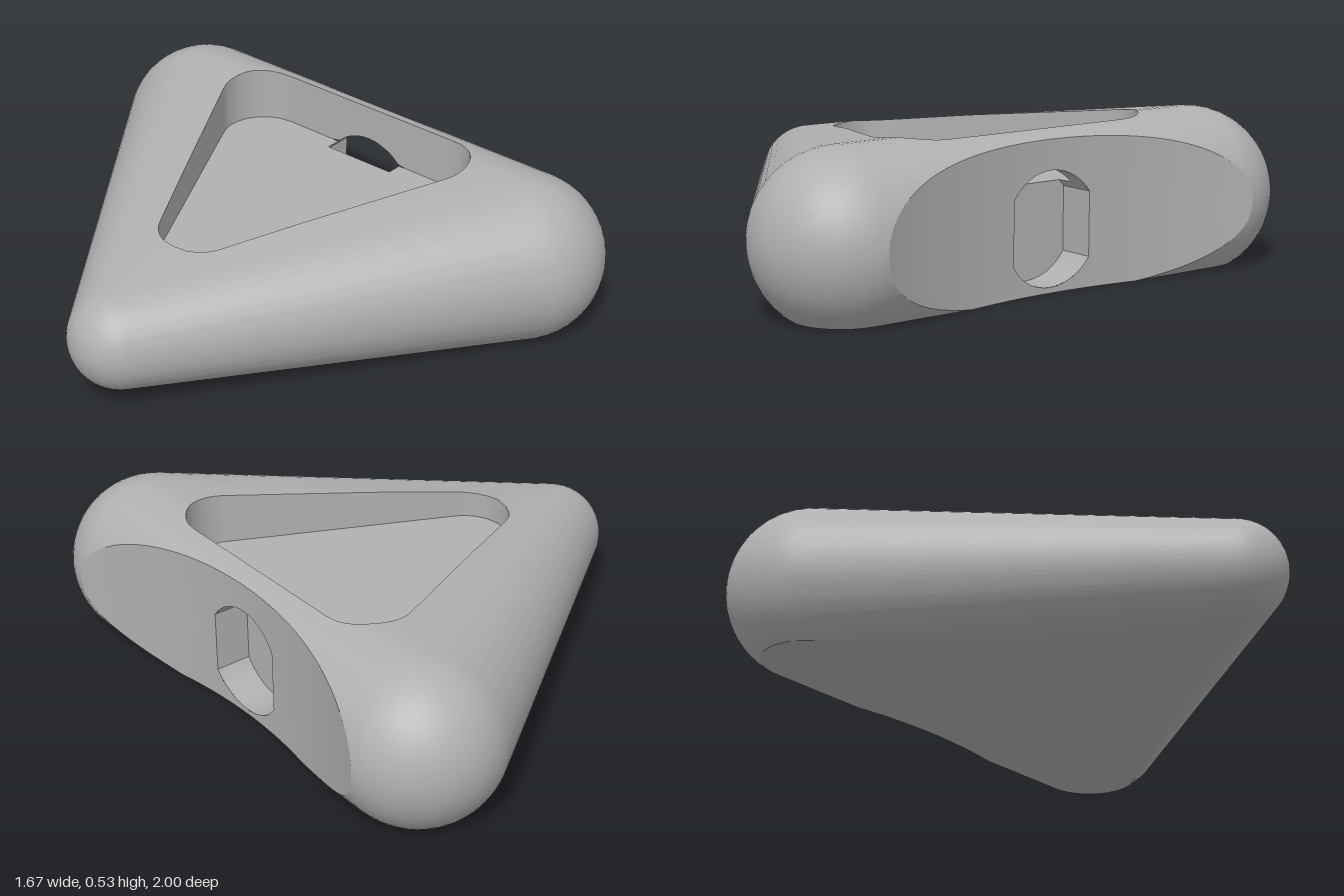
import * as THREE from 'three';
import { toCreasedNormals } from 'three/addons/utils/BufferGeometryUtils.js';
import { ConvexGeometry } from 'three/addons/geometries/ConvexGeometry.js';

const V = (x, y, z) => new THREE.Vector3(x, y, z);
const BIG = { x: 0.545, y: 0.238, z: 0.71, r: 0.29 };   // two rear corner balls
const TIP = { x: -0.66, y: 0.207, r: 0.175 };           // small front corner ball
const ARC = { x: 2.57, r: 1.89 };                       // concave end face
const POCKET = { tip: -0.255, x: 0.465, z: 0.36, r: 0.15, floor: 0.335 };
const HOLE = { y: 0.207, r: 0.188, half: 0.155, end: 0.56 };
const WALL_X = POCKET.x + POCKET.r;

const arcX = z => ARC.x - Math.sqrt(ARC.r ** 2 - z * z);

// Signed distance to the rounded triangular pocket outline
function pocketDistance(p) {
  const z = Math.abs(p.z), L = POCKET.x - POCKET.tip;
  const t = THREE.MathUtils.clamp(((p.x - POCKET.tip) * L + z * POCKET.z) / (L * L + POCKET.z ** 2), 0, 1);
  const side = Math.hypot(p.x - POCKET.tip - t * L, z - t * POCKET.z);
  const end = Math.hypot(p.x - POCKET.x, Math.max(z - POCKET.z, 0));
  const inside = p.x < POCKET.x && z < (p.x - POCKET.tip) * POCKET.z / L;
  return Math.min(side, end) * (inside ? -1 : 1) - POCKET.r;
}

// Keep the part of each triangle where f >= 0, collecting the cut segments
function clip(tris, f, cuts = []) {
  const out = [];
  for (const tri of tris) {
    const d = tri.map(f), poly = [], cut = [];
    for (let i = 0; i < 3; i++) {
      const j = (i + 1) % 3;
      if (d[i] >= 0) poly.push(tri[i]);
      if ((d[i] >= 0) === (d[j] >= 0)) continue;
      // always bisect from the inside end so neighbours share the point
      let a = d[i] >= 0 ? tri[i] : tri[j], b = d[i] >= 0 ? tri[j] : tri[i];
      for (let k = 0; k < 22; k++) {
        const m = a.clone().lerp(b, 0.5);
        if (f(m) >= 0) a = m; else b = m;
      }
      poly.push(a);
      cut.push(a);
    }
    for (let i = 2; i < poly.length; i++) out.push([poly[0], poly[i - 1], poly[i]]);
    if (cut.length === 2 && cut[0].distanceTo(cut[1]) > 1e-6) cuts.push(cut);
  }
  return out;
}

// Halve the longest edge until all edges are short
function subdivide(tris, max) {
  const out = [], stack = [...tris];
  while (stack.length) {
    const t = stack.pop();
    const len = t.map((p, i) => p.distanceTo(t[(i + 1) % 3]));
    const i = len.indexOf(Math.max(...len));
    if (len[i] <= max) { out.push(t); continue; }
    const a = t[i], b = t[(i + 1) % 3], c = t[(i + 2) % 3], m = a.clone().lerp(b, 0.5);
    stack.push([a, m, c], [m, b, c]);
  }
  return out;
}

// Triangle wound so that it faces along the hint
function facing(a, b, c, hint) {
  const n = b.clone().sub(a).cross(c.clone().sub(a));
  return n.dot(hint) >= 0 ? [a, b, c] : [a, c, b];
}
const quad = (a, b, c, d, hint) => [facing(a, b, c, hint), facing(a, c, d, hint)];

function toGeometry(tris, crease) {
  const solid = tris.filter(([a, b, c]) =>
    b.clone().sub(a).cross(c.clone().sub(a)).length() > 1e-10);
  const g = new THREE.BufferGeometry().setFromPoints(solid.flat());
  return toCreasedNormals(g, crease);
}

function buildShell() {
  // Hull around the three corner balls, with a slight crown and foot near the tip
  const points = [V(-0.4, 0.428, 0), V(-0.42, -0.003, 0)];
  for (const [x, y, z, r] of [[TIP.x, TIP.y, 0, TIP.r],
    [BIG.x, BIG.y, BIG.z, BIG.r], [BIG.x, BIG.y, -BIG.z, BIG.r]]) {
    const pos = new THREE.SphereGeometry(r, 56, 28).rotateX(Math.PI / 2).translate(x, y, z).attributes.position;
    for (let i = 0; i < pos.count; i++) points.push(new THREE.Vector3().fromBufferAttribute(pos, i));
  }
  const hp = new ConvexGeometry(points).attributes.position;
  let tris = [];
  for (let i = 0; i < hp.count; i += 3) {
    tris.push([0, 1, 2].map(k => new THREE.Vector3().fromBufferAttribute(hp, i + k)));
  }

  // Flat base
  const baseCuts = [], rim = [];
  tris = clip(tris, p => p.y, baseCuts);
  for (const [a, b] of baseCuts) tris.push(facing(V(0.1, 0, 0), a, b, V(0, -1, 0)));

  // Concave end and pocket opening
  tris = subdivide(tris, 0.07);
  tris = clip(tris, p => Math.hypot(p.x - ARC.x, p.z) - ARC.r);
  const top = clip(tris.filter(t => t[0].y > 0.3), pocketDistance, rim);
  return { tris: [...tris.filter(t => t[0].y <= 0.3), ...top], rim };
}

// Pocket walls drop from the rim, leaving the hole open
function buildPocketWalls(rim) {
  const low = p => {
    const open = p.x > WALL_X - 0.005 && Math.abs(p.z) < HOLE.half;
    const y = open ? HOLE.y + Math.sqrt(HOLE.r ** 2 - p.z ** 2) : 0;
    return V(p.x, Math.max(POCKET.floor, y), p.z);
  };
  return rim.flatMap(([a, b]) => quad(a, b, low(b), low(a), V(0.25 - a.x, 0, -a.z)));
}

function buildPocketFloor() {
  const { tip, x, z, r, floor } = POCKET;
  const turn = Math.PI / 2 + Math.atan2(z, x - tip);
  const notch = Math.sqrt(HOLE.r ** 2 - (floor - HOLE.y) ** 2);
  const s = new THREE.Shape();
  s.absarc(x, -z, r, -turn, 0, false);
  s.lineTo(WALL_X, -notch);
  s.lineTo(HOLE.end, -notch);
  s.lineTo(HOLE.end, notch);
  s.lineTo(WALL_X, notch);
  s.absarc(x, z, r, 0, turn, false);
  s.absarc(tip, 0, r, turn, 2 * Math.PI - turn, false);
  return new THREE.ShapeGeometry(s, 24).rotateX(-Math.PI / 2).translate(0, floor, 0);
}

// Concave face in columns, split above and below the hole
function buildEndFace() {
  const tris = [], out = V(1, 0, 0), half = 0.745;
  const reach = z => Math.sqrt(Math.max(0,
    BIG.r ** 2 - (arcX(z) - BIG.x) ** 2 - Math.max(Math.abs(z) - BIG.z, 0) ** 2));
  const topY = z => BIG.y + reach(z), baseY = z => Math.max(0, BIG.y - reach(z));
  const holeY = s => z => HOLE.y + s * Math.sqrt(HOLE.r ** 2 - z * z);
  const strip = (z0, z1, lo, hi) => tris.push(...quad(
    V(arcX(z0), lo(z0), z0), V(arcX(z1), lo(z1), z1),
    V(arcX(z1), hi(z1), z1), V(arcX(z0), hi(z0), z0), out));
  const n = 40, zs = i => HOLE.half + (half - HOLE.half) * Math.sin(i / n * Math.PI / 2);
  for (let i = 0; i < n; i++) {
    for (const m of [1, -1]) strip(m * zs(i), m * zs(i + 1), baseY, topY);
    const z0 = HOLE.half * (2 * i / n - 1), z1 = HOLE.half * (2 * (i + 1) / n - 1);
    strip(z0, z1, baseY, holeY(-1));
    strip(z0, z1, holeY(1), topY);
  }
  return tris;
}

// Flat-sided round hole, ending in a blind wall below the pocket floor
function buildHole() {
  const a0 = Math.acos(HOLE.half / HOLE.r), a1 = Math.asin((POCKET.floor - HOLE.y) / HOLE.r);
  const angles = [a0];
  for (let i = 0; i <= 20; i++) angles.push(a1 + (Math.PI - 2 * a1) * i / 20);
  angles.push(Math.PI - a0);
  for (let i = 0; i <= 20; i++) angles.push(Math.PI + a0 + (Math.PI - 2 * a0) * i / 20);
  const ring = angles.map(a => ({ z: HOLE.r * Math.cos(a), y: HOLE.y + HOLE.r * Math.sin(a) }));
  const lining = [], back = [], centre = V(HOLE.end, HOLE.y, 0);
  ring.forEach((p, i) => {
    const q = ring[(i + 1) % ring.length];
    const above = (p.y + q.y) / 2 > POCKET.floor;
    const x = above ? WALL_X : HOLE.end;
    lining.push(...quad(V(arcX(p.z), p.y, p.z), V(arcX(q.z), q.y, q.z),
      V(x, q.y, q.z), V(x, p.y, p.z), V(0, HOLE.y - (p.y + q.y) / 2, -(p.z + q.z) / 2)));
    const cap = k => V(HOLE.end, Math.min(k.y, POCKET.floor), k.z);
    back.push(facing(centre, cap(p), cap(q), V(1, 0, 0)));
  });
  return { lining, back };
}

export function createModel() {
  const model = new THREE.Group();
  model.name = 'roundedWedge';
  const grey = new THREE.MeshStandardMaterial({ color: 0xb0b0b0 });
  grey.name = 'grey';
  const add = (name, geometry) => {
    const mesh = new THREE.Mesh(geometry, grey);
    mesh.name = name;
    model.add(mesh);
  };
  const shell = buildShell(), hole = buildHole();
  add('shell', toGeometry(shell.tris, 0.4));
  add('pocketWalls', toGeometry(buildPocketWalls(shell.rim), 0.5));
  add('pocketFloor', buildPocketFloor());
  add('concaveEnd', toGeometry(buildEndFace(), 0.5));
  add('holeLining', toGeometry(hole.lining, 0.5));
  add('holeBack', toGeometry(hole.back, 0.5));
  return model;
}
